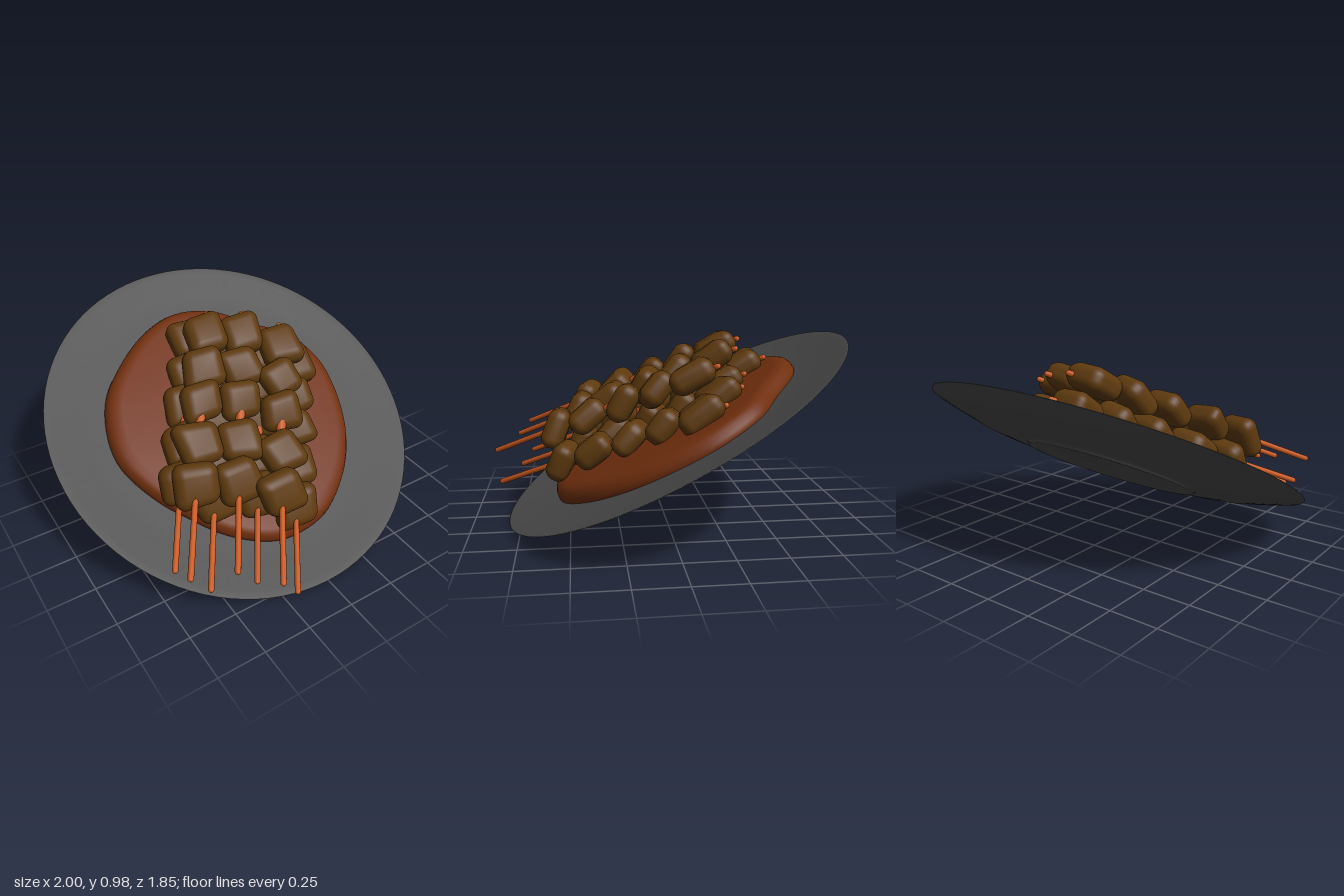
import * as THREE from 'three';
import { RoundedBoxGeometry } from 'three/addons/geometries/RoundedBoxGeometry.js';

const mat = (name, color, side = THREE.FrontSide) => {
  const m = new THREE.MeshStandardMaterial({ color, side });
  m.name = name;
  return m;
};

function add(parent, name, geometry, material) {
  const mesh = new THREE.Mesh(geometry, material);
  mesh.name = name;
  parent.add(mesh);
  return mesh;
}

// Seeded random in -1..1
function makeRandom(seed) {
  return () => {
    seed = (seed * 16807) % 2147483647;
    return (seed / 2147483647) * 2 - 1;
  };
}

// Closed profile: foot, underside, thin rim, shallow dish
function plateGeometry() {
  const profile = [
    [0, -0.108], [0.43, -0.112], [0.448, -0.111], [0.453, -0.106], [0.46, -0.097], [0.475, -0.092], [0.5, -0.09],
    [0.62, -0.082], [0.75, -0.067], [0.88, -0.035], [0.985, -0.005], [0.998, -0.001], [1, 0.001], [0.995, 0.003],
    [0.96, -0.002], [0.85, -0.016], [0.7, -0.035], [0.5, -0.045], [0, -0.05],
  ].map(([r, y]) => new THREE.Vector2(r, y));
  return new THREE.LatheGeometry(profile, 96);
}

// Pool of sauce: one free outline, shrunk ring by ring towards a flat top
function sauceGeometry() {
  const outline = [
    [0.02, -0.71], [0.2, -0.66], [0.4, -0.5], [0.58, -0.36], [0.665, -0.15], [0.66, 0.03], [0.6, 0.25],
    [0.52, 0.4], [0.4, 0.54], [0.2, 0.68], [0, 0.72], [-0.15, 0.7], [-0.35, 0.58], [-0.5, 0.41],
    [-0.6, 0.27], [-0.69, 0.05], [-0.685, -0.12], [-0.6, -0.34], [-0.45, -0.5], [-0.27, -0.63], [-0.1, -0.7],
  ].map(([x, z]) => new THREE.Vector3(x, 0, z));
  const n = 96;
  const loop = new THREE.CatmullRomCurve3(outline, true).getSpacedPoints(n).slice(0, n);
  const rings = [[0.99, -0.05], [1, -0.03], [0.995, -0.008], [0.975, 0.018], [0.94, 0.036], [0.88, 0.045], [0.6, 0.05], [0, 0.05]];
  const positions = [], index = [];
  rings.forEach(([s, y], r) => {
    loop.forEach((p, i) => {
      positions.push(p.x * s, y, p.z * s);
      if (r === rings.length - 1) return;
      const a = r * n + i, b = r * n + (i + 1) % n;
      index.push(a, a + n, b, b, a + n, b + n);
    });
  });
  const g = new THREE.BufferGeometry();
  g.setAttribute('position', new THREE.Float32BufferAttribute(positions, 3));
  g.setIndex(index);
  g.computeVertexNormals();
  return g;
}

// Rounded square chunk, bent and tapered a little so no two look alike
function meatGeometry(w, h, d, random) {
  const g = new RoundedBoxGeometry(w, h, d, 5, 0.052);
  const p = g.attributes.position;
  const [a, b, c, e] = [random(), random(), random(), random()];
  for (let i = 0; i < p.count; i++) {
    const x = p.getX(i), y = p.getY(i), z = p.getZ(i);
    p.setXYZ(i,
      x * (1 + 0.9 * a * y) + 0.12 * c * y,
      y * (1 + 0.9 * b * x) + 0.1 * e * x,
      z * (1.08 - 14 * (x * x + y * y)) + 0.5 * c * x * y);
  }
  g.computeVertexNormals();
  // Restore smooth normals across the split box sides
  const n = g.attributes.normal, sums = new Map();
  const key = i => [p.getX(i), p.getY(i), p.getZ(i)].map(v => Math.round(v * 1e4)).join();
  for (let i = 0; i < p.count; i++) {
    const k = key(i);
    if (!sums.has(k)) sums.set(k, new THREE.Vector3());
    sums.get(k).add(new THREE.Vector3().fromBufferAttribute(n, i));
  }
  for (let i = 0; i < p.count; i++) {
    const v = sums.get(key(i)).clone().normalize();
    n.setXYZ(i, v.x, v.y, v.z);
  }
  return g;
}

export function createModel() {
  const model = new THREE.Group();
  model.name = 'skewersOnPlate';
  const plateMat = mat('charcoal plate', 0x4a4a4a);
  const sauceMat = mat('brown sauce', 0x702f0e);
  const meatMat = mat('grilled meat', 0x5e3a0f);
  const woodMat = mat('orange wood', 0xc8581f);

  // Tilted plate with its sauce
  const dish = new THREE.Group();
  dish.name = 'dish';
  dish.position.set(0, 0.48, -0.055);
  dish.rotation.x = THREE.MathUtils.degToRad(28.7);
  model.add(dish);
  add(dish, 'plate', plateGeometry(), plateMat);
  add(dish, 'sauce', sauceGeometry(), sauceMat);

  // Skewers: front tip and back tip, four below and three on top
  const skewers = [
    [[-0.73, 0.28, 0.6], [0.02, 0.84, -0.55]],
    [[-0.62, 0.21, 0.73], [0.14, 0.77, -0.42]],
    [[-0.4, 0.18, 0.78], [0.35, 0.736, -0.36]],
    [[-0.245, 0.12, 0.89], [0.51, 0.675, -0.25]],
    [[-0.73, 0.368, 0.75], [0.04, 0.942, -0.4]],
    [[-0.52, 0.335, 0.8], [0.23, 0.91, -0.35]],
    [[-0.355, 0.275, 0.92], [0.4, 0.845, -0.23]],
  ];
  // Chunks: place along the skewer, upward lean in degrees, width, height, depth
  const chunks = [
    [0.31, 20, 0.215, 0.21, 0.125],
    [0.455, 48, 0.215, 0.21, 0.135],
    [0.615, 34, 0.215, 0.2, 0.125],
    [0.75, 36, 0.205, 0.2, 0.125],
    [0.895, 56, 0.215, 0.22, 0.135],
  ];
  const random = makeRandom(4711);
  const up = new THREE.Vector3(0, 1, 0);

  skewers.forEach(([front, back]) => {
    const skewer = new THREE.Group();
    skewer.name = 'skewer';
    model.add(skewer);
    const a = new THREE.Vector3(...front), b = new THREE.Vector3(...back);
    const dir = b.clone().sub(a), length = dir.length();
    const turn = new THREE.Quaternion().setFromUnitVectors(up, dir.normalize());

    const stick = add(skewer, 'stick', new THREE.CapsuleGeometry(0.0145, length - 0.029, 4, 12), woodMat);
    stick.position.lerpVectors(a, b, 0.5);
    stick.quaternion.copy(turn);

    // Thicker wedge between the second and third chunk
    const wedge = add(skewer, 'wedge', new THREE.CylinderGeometry(0.036, 0.014, 0.11, 12), woodMat);
    wedge.position.lerpVectors(a, b, 0.55);
    wedge.quaternion.copy(turn);

    chunks.forEach(([t, lean, w, h, d]) => {
      const k = 1 + 0.05 * random();
      const chunk = add(skewer, 'meatChunk', meatGeometry(w * k, h * k, d, random), meatMat);
      chunk.position.lerpVectors(a, b, t);
      chunk.rotation.order = 'YXZ';
      chunk.rotation.set(
        -THREE.MathUtils.degToRad(lean + 5 * random()),
        -0.2 + 0.14 * random(),
        0.12 + 0.14 * random());
    });
  });
  return model;
}
